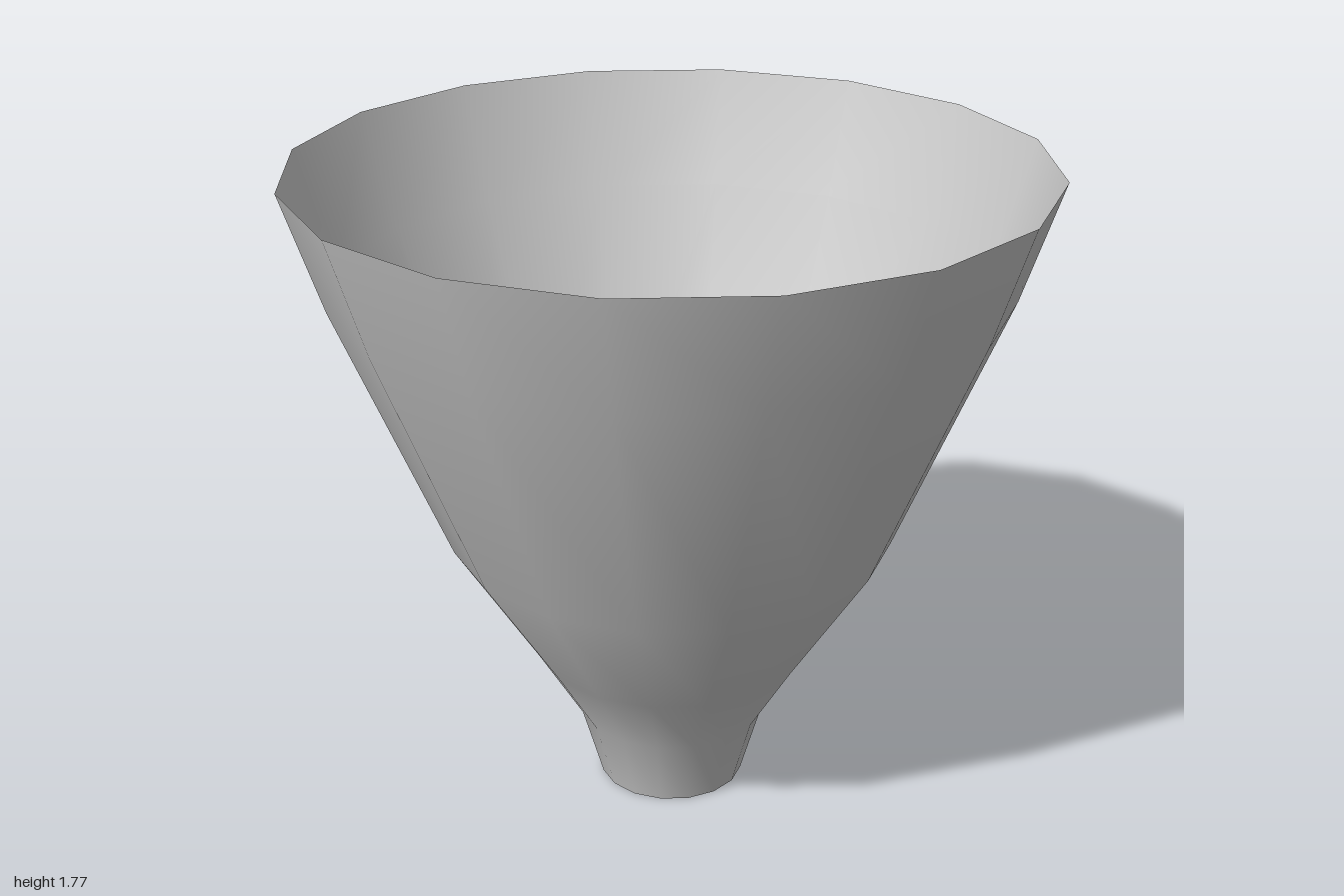
import * as THREE from 'three';

export function createModel() {
  const group = new THREE.Group();
  group.name = 'funnel';

  // Radius and height, from the open spout up to the open rim
  const profile = [
    [0.2, 0], [0.257, 0.2], [0.378, 0.4], [0.6, 0.745], [0.895, 1.455], [1, 1.775],
  ].map(([r, y]) => new THREE.Vector2(r, y));

  // Thin 16-sided shell, smooth shaded, open at both ends
  const shell = new THREE.Mesh(
    new THREE.LatheGeometry(profile, 16),
    new THREE.MeshStandardMaterial({ color: 0xcccccc, side: THREE.DoubleSide }),
  );
  shell.name = 'funnelShell';
  group.add(shell);

  return group;
}
